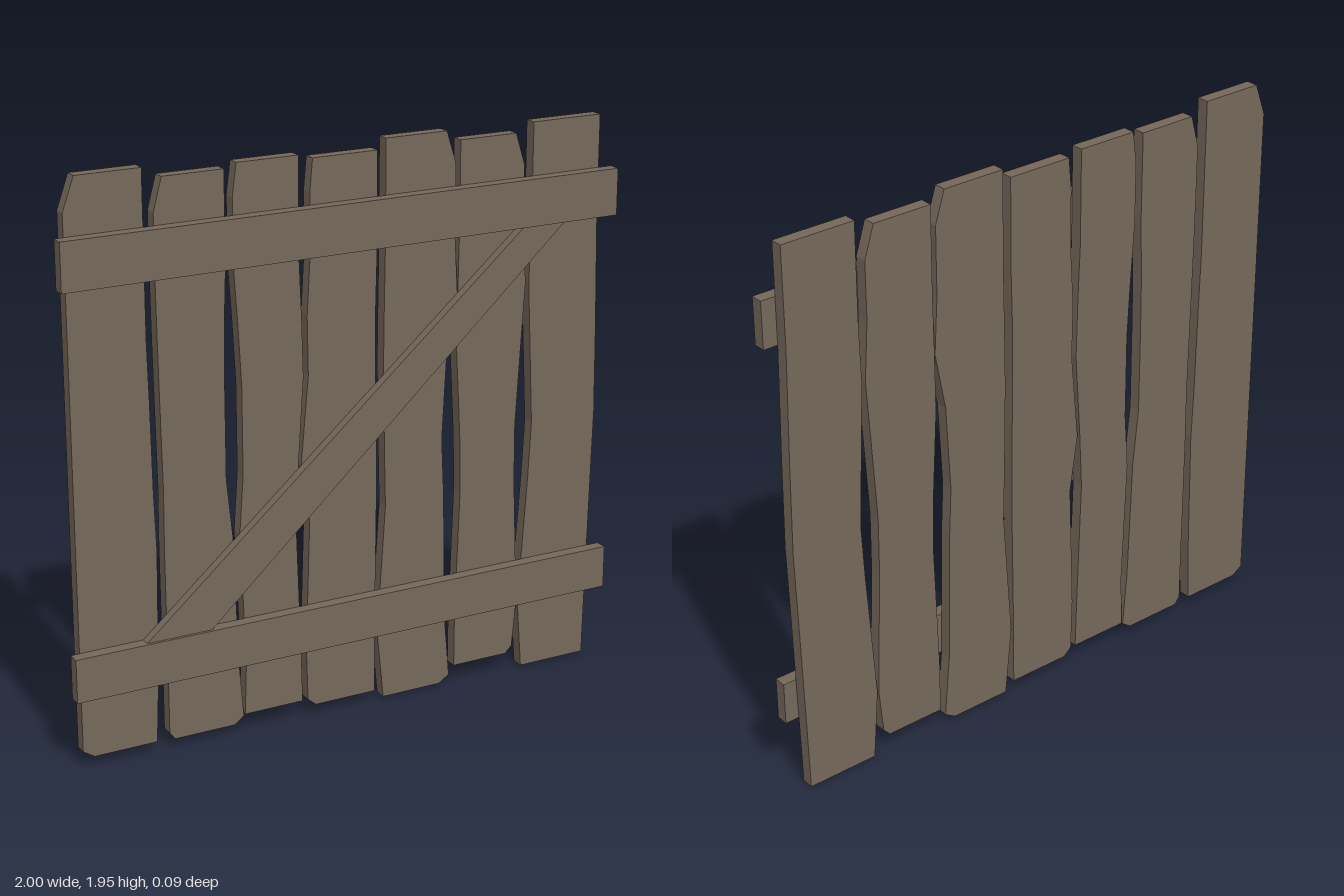
import * as THREE from 'three';

const wood = new THREE.MeshStandardMaterial({ color: 0x75685a });
wood.name = 'weathered wood';

// Cut a flat board from an outline of [x, y] points, from z = back to z = front
function board(name, points, back, front) {
  const shape = new THREE.Shape(points.map(([x, y]) => new THREE.Vector2(x, y)));
  const geometry = new THREE.ExtrudeGeometry(shape, { depth: front - back, bevelEnabled: false });
  geometry.translate(0, 0, back);
  const mesh = new THREE.Mesh(geometry, wood);
  mesh.name = name;
  return mesh;
}

// Heights at which the worn plank edges bend, above their bottom end
const bends = [0.25, 0.7, 0.9, 1.2, 1.4, 1.6];

// One long edge going up: x at the bottom, then at each bend.
// Clipped corners lean inward by the given inset; side is +1 where inward is +x.
function plankEdge(xs, bottom, top, side, bottomInset = 0, topInset = 0) {
  const first = xs[0];
  const last = xs[xs.length - 1];
  const points = bends.map((y, i) => [xs[i + 1], y]);
  if (bottomInset) points.unshift([first, bottom + 0.025]);
  points.unshift([first + side * bottomInset, bottom]);
  if (topInset) points.push([last, top - 0.11]);
  points.push([last + side * topInset, top]);
  return points;
}

// Plank ends, edges and corner insets (bl = bottom left, tr = top right as seen from the front)
const planks = [
  {
    bottom: 0.035, top: 1.945, bl: 0.04, tl: 0.04,
    left: Array(7).fill(-0.97),
    right: [-0.71, -0.7, -0.693, -0.7, -0.705, -0.71, -0.71],
  },
  {
    bottom: 0.03, top: 1.91, bl: 0.02, br: 0.035, tl: 0.03,
    left: [-0.665, -0.665, -0.667, -0.665, -0.67, -0.673, -0.675],
    right: [-0.395, -0.41, -0.425, -0.445, -0.445, -0.443, -0.435],
  },
  {
    bottom: 0.06, top: 1.925, tl: 0.015,
    left: [-0.39, -0.383, -0.4, -0.385, -0.385, -0.395, -0.408],
    right: [-0.175, -0.18, -0.195, -0.185, -0.165, -0.17, -0.178],
  },
  {
    bottom: 0.035, top: 1.91, bl: 0.03, tl: 0.01,
    left: [-0.155, -0.16, -0.145, -0.175, -0.147, -0.15, -0.138],
    right: [0.1, 0.1, 0.105, 0.105, 0.1, 0.1, 0.105],
  },
  {
    bottom: 0.005, top: 1.945, br: 0.04, tr: 0.035,
    left: [0.135, 0.11, 0.14, 0.135, 0.13, 0.132, 0.135],
    right: [0.395, 0.375, 0.365, 0.355, 0.37, 0.407, 0.395],
  },
  {
    bottom: 0.06, top: 1.91, br: 0.025, tr: 0.035,
    left: [0.415, 0.415, 0.43, 0.425, 0.408, 0.409, 0.412],
    right: [0.65, 0.665, 0.645, 0.643, 0.66, 0.672, 0.658],
  },
  {
    bottom: 0, top: 1.94,
    left: [0.69, 0.67, 0.7, 0.71, 0.695, 0.685, 0.69],
    right: [0.945, 0.95, 0.96, 0.965, 0.96, 0.955, 0.95],
  },
];

export function createModel() {
  const gate = new THREE.Group();
  gate.name = 'plankGate';

  // Upright planks at the back
  planks.forEach(({ bottom, top, left, right, bl, br, tl, tr }, i) => {
    const leftEdge = plankEdge(left, bottom, top, 1, bl, tl);
    const rightEdge = plankEdge(right, bottom, top, -1, br, tr);
    gate.add(board(`plank${i + 1}`, [...rightEdge, ...leftEdge.reverse()], -0.043, 0));
  });

  // Horizontal rails across the front
  for (const [name, low, high] of [['lowerRail', 0.255, 0.405], ['upperRail', 1.6, 1.76]]) {
    gate.add(board(name, [[-1, low], [1, low], [1, high], [-1, high]], 0, 0.043));
  }

  // Diagonal brace, slightly thinner than the rails
  gate.add(board('diagonalBrace', [[-0.75, 0.405], [-0.52, 0.405], [0.8, 1.6], [0.64, 1.6]], 0, 0.033));

  return gate;
}
